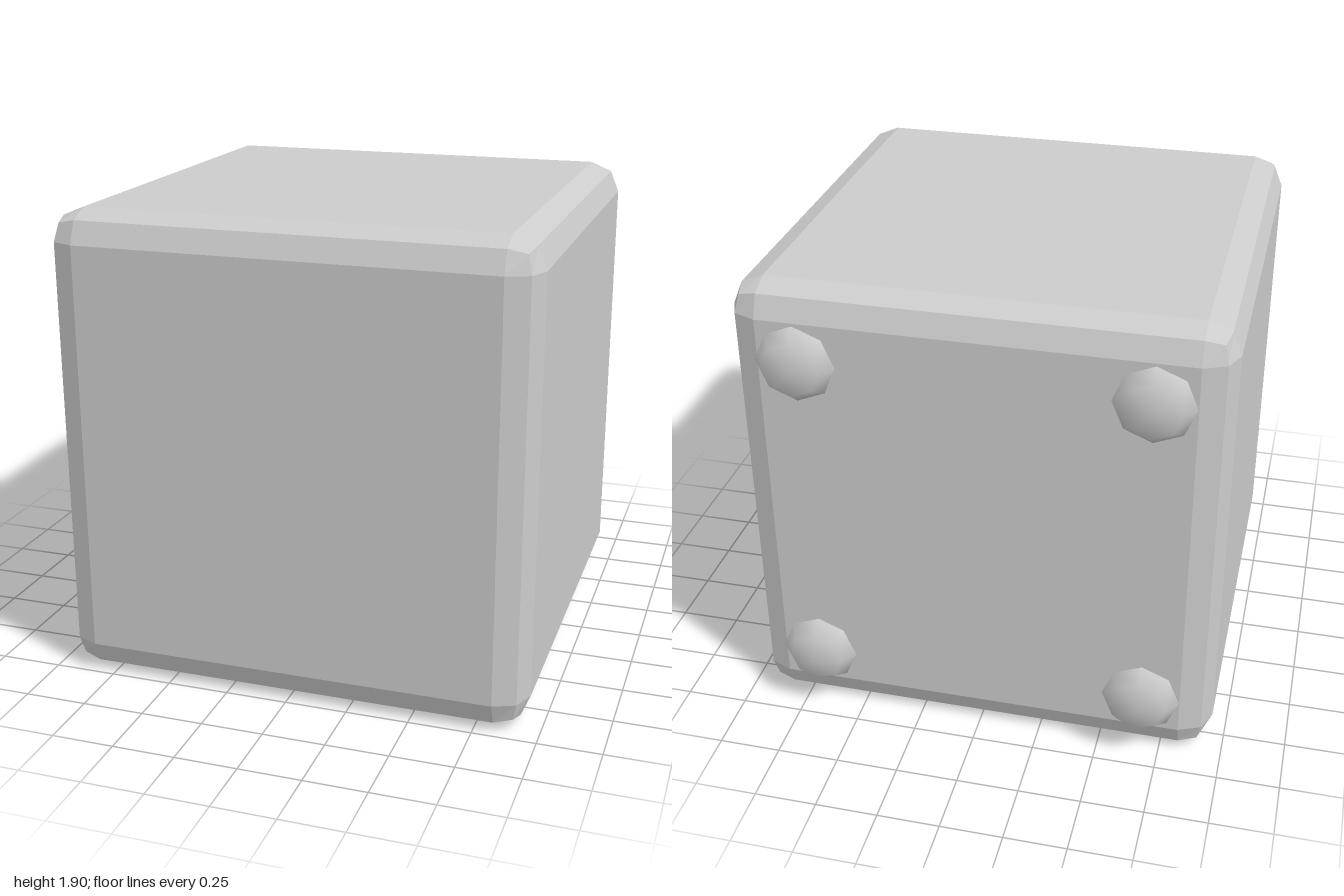
import * as THREE from 'three';
import { RoundedBoxGeometry } from 'three/addons/geometries/RoundedBoxGeometry.js';

const SIZE = 1.9;
const BEVEL = 0.125;

export function createModel() {
  const model = new THREE.Group();
  model.name = 'cubeWithFeet';

  // Cube with two-step bevelled edges and faceted corners
  const body = new THREE.Mesh(
    new RoundedBoxGeometry(SIZE, SIZE, SIZE, 1, BEVEL),
    new THREE.MeshStandardMaterial({ color: 0xcccccc, flatShading: true })
  );
  body.name = 'body';
  body.position.set(0, SIZE / 2, 0.05);
  model.add(body);

  // Flattened low-poly domes at the four corners of the back
  const footGeometry = new THREE.SphereGeometry(0.155, 8, 4);
  footGeometry.rotateX(-Math.PI / 2);
  footGeometry.scale(1, 1, 0.08 / 0.155);
  const footMaterial = new THREE.MeshStandardMaterial({ color: 0xcccccc });
  const feet = new THREE.Group();
  feet.name = 'backFeet';
  for (const sx of [-1, 1]) {
    for (const sy of [-1, 1]) {
      const foot = new THREE.Mesh(footGeometry, footMaterial);
      foot.name = `${sy > 0 ? 'upper' : 'lower'}${sx > 0 ? 'Left' : 'Right'}Foot`;
      foot.position.set(sx * 0.67, SIZE / 2 + sy * 0.67, -0.92);
      feet.add(foot);
    }
  }
  model.add(feet);

  return model;
}
